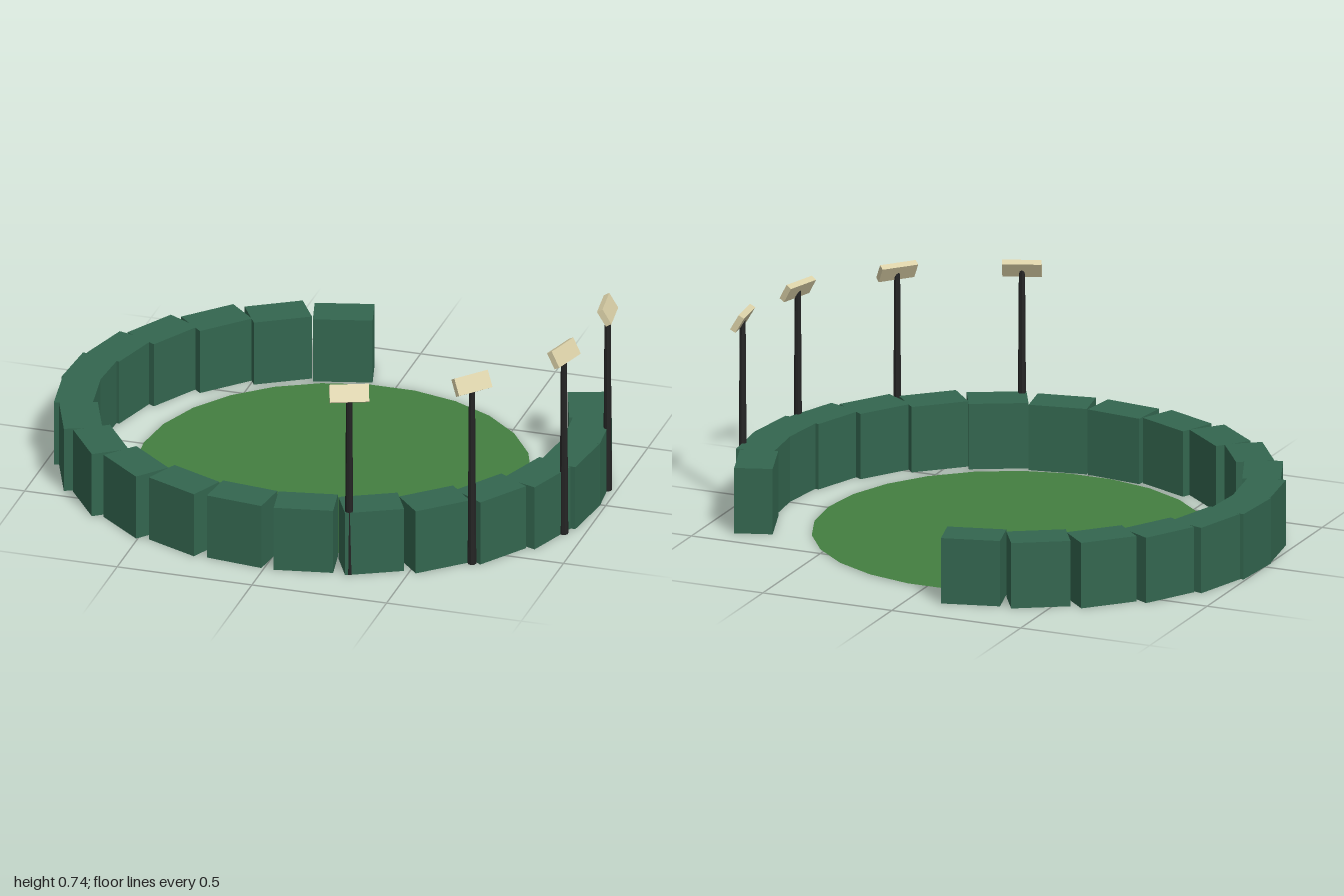
import * as THREE from 'three';

export function createModel() {
  const model = new THREE.Group();
  model.name = 'openAirStadium';

  const material = (name, color, extra = {}) =>
    new THREE.MeshStandardMaterial({ name, color, flatShading: true, ...extra });
  const grass = material('grassGreen', 0x437f40, { side: THREE.DoubleSide });
  const stand = material('standGreen', 0x33664f);
  const steel = material('darkSteel', 0x242424);
  const lamp = material('lampCream', 0xd9cfa6);

  const CX = -0.012; // centre of the field and ring
  const BASE = 0.055; // underside of stands and masts

  const add = (parent, name, geometry, mat, x, y, z) => {
    const mesh = new THREE.Mesh(geometry, mat);
    mesh.name = name;
    mesh.position.set(x, y, z);
    parent.add(mesh);
    return mesh;
  };
  // angle that turns +z outward, away from the centre
  const outward = (x, z) => Math.atan2(x - CX, z);

  // flat playing field
  const field = add(model, 'field', new THREE.CircleGeometry(0.703, 26), grass, CX, 0.058, 0);
  field.rotation.x = -Math.PI / 2;

  // oval of stand blocks, left open at one back corner
  const stands = new THREE.Group();
  stands.name = 'stands';
  model.add(stands);
  const height = 0.243;
  const blockGeo = new THREE.BoxGeometry(0.212, height, 0.137);
  for (let i = 0; i < 20; i++) {
    const t = THREE.MathUtils.degToRad(102.5 + 14.69 * i);
    const x = CX + 0.92 * Math.cos(t);
    const z = -0.78 * Math.sin(t);
    const block = add(stands, 'standBlock', blockGeo, stand, x, BASE + height / 2, z);
    block.rotation.y = outward(x, z);
  }

  // floodlights: tapered mast with a tilted lamp panel
  const top = 0.757;
  const mastGeo = new THREE.CylinderGeometry(0.011, 0.016, top - BASE, 8);
  const panelGeo = new THREE.BoxGeometry(0.14, 0.064, 0.023);
  for (const [x, z] of [[0.3, 0.805], [0.69, 0.595], [0.927, 0.262], [0.967, -0.128]]) {
    const light = new THREE.Group();
    light.name = 'floodlight';
    light.position.set(x, 0, z);
    light.rotation.y = outward(x, z);
    model.add(light);
    add(light, 'mast', mastGeo, steel, 0, (top + BASE) / 2, 0);
    const panel = add(light, 'lampPanel', panelGeo, lamp, 0, 0.76, 0);
    panel.rotation.x = -Math.PI / 6;
  }

  return model;
}
